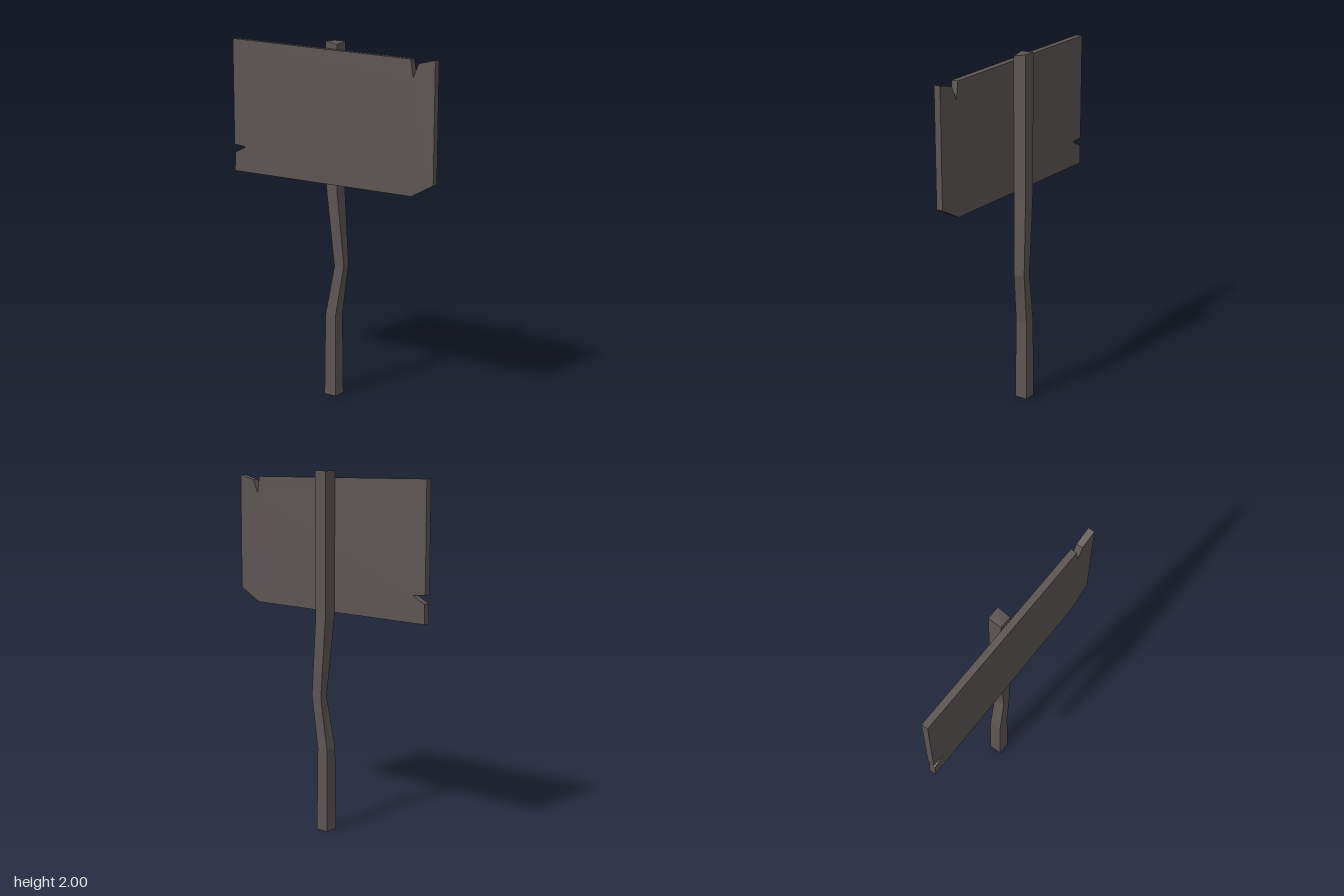
import * as THREE from 'three';

// Four-sided post lofted through rings of corners, closed at both ends.
// Ring corners run: front left, front right, back right, back left (as seen from the front).
function loftPost(rings) {
  const positions = [];
  const tri = (a, b, c) => positions.push(...a, ...b, ...c);
  for (let i = 0; i < rings.length - 1; i++) {
    const lower = rings[i], upper = rings[i + 1];
    for (let j = 0; j < 4; j++) {
      const k = (j + 1) % 4;
      tri(lower[j], lower[k], upper[k]);
      tri(lower[j], upper[k], upper[j]);
    }
  }
  const base = rings[0], top = rings[rings.length - 1];
  tri(base[0], base[2], base[1]);
  tri(base[0], base[3], base[2]);
  tri(top[0], top[1], top[2]);
  tri(top[0], top[2], top[3]);
  const geometry = new THREE.BufferGeometry();
  geometry.setAttribute('position', new THREE.Float32BufferAttribute(positions, 3));
  geometry.computeVertexNormals();
  return geometry;
}

// Square ring at one height
const ring = (y, x0, x1, zBack, zFront) => [
  [x0, y, zFront], [x1, y, zFront], [x1, y, zBack], [x0, y, zBack],
];

export function createModel() {
  const group = new THREE.Group();
  group.name = 'signpost';

  const wood = new THREE.MeshStandardMaterial({ color: 0x5c5553, flatShading: true });
  wood.name = 'weathered wood';

  // Crooked post, twisted a little at the bend, with a chipped top corner
  const bend = [[-0.005, 0.755, 0.005], [0.055, 0.765, 0], [0.045, 0.765, -0.06], [-0.015, 0.755, -0.055]];
  const top = ring(2, -0.05, 0.025, -0.055, 0.022);
  top[1][1] = 1.985;
  const post = new THREE.Mesh(loftPost([
    ring(0, -0.062, 0.014, -0.055, 0.021),
    ring(0.47, -0.057, 0.01, -0.052, 0.018),
    bend,
    ring(1.2, -0.047, 0.023, -0.054, 0.022),
    top,
  ]), wood);
  post.name = 'post';
  group.add(post);

  // Board outline with two splits and a broken corner
  const outline = [
    [-0.66, 1.23], [0.525, 1.23], [0.658, 1.302], [0.658, 1.948], [0.56, 1.925],
    [0.527, 1.85], [0.512, 1.945], [-0.66, 1.98], [-0.66, 1.383], [-0.58, 1.375], [-0.655, 1.337],
  ].map(([x, y]) => new THREE.Vector2(x, y));
  const boardGeometry = new THREE.ExtrudeGeometry(new THREE.Shape(outline), { depth: 0.037, bevelEnabled: false });
  boardGeometry.translate(0, 0, 0.024);
  const board = new THREE.Mesh(boardGeometry, wood);
  board.name = 'signBoard';
  group.add(board);

  return group;
}
